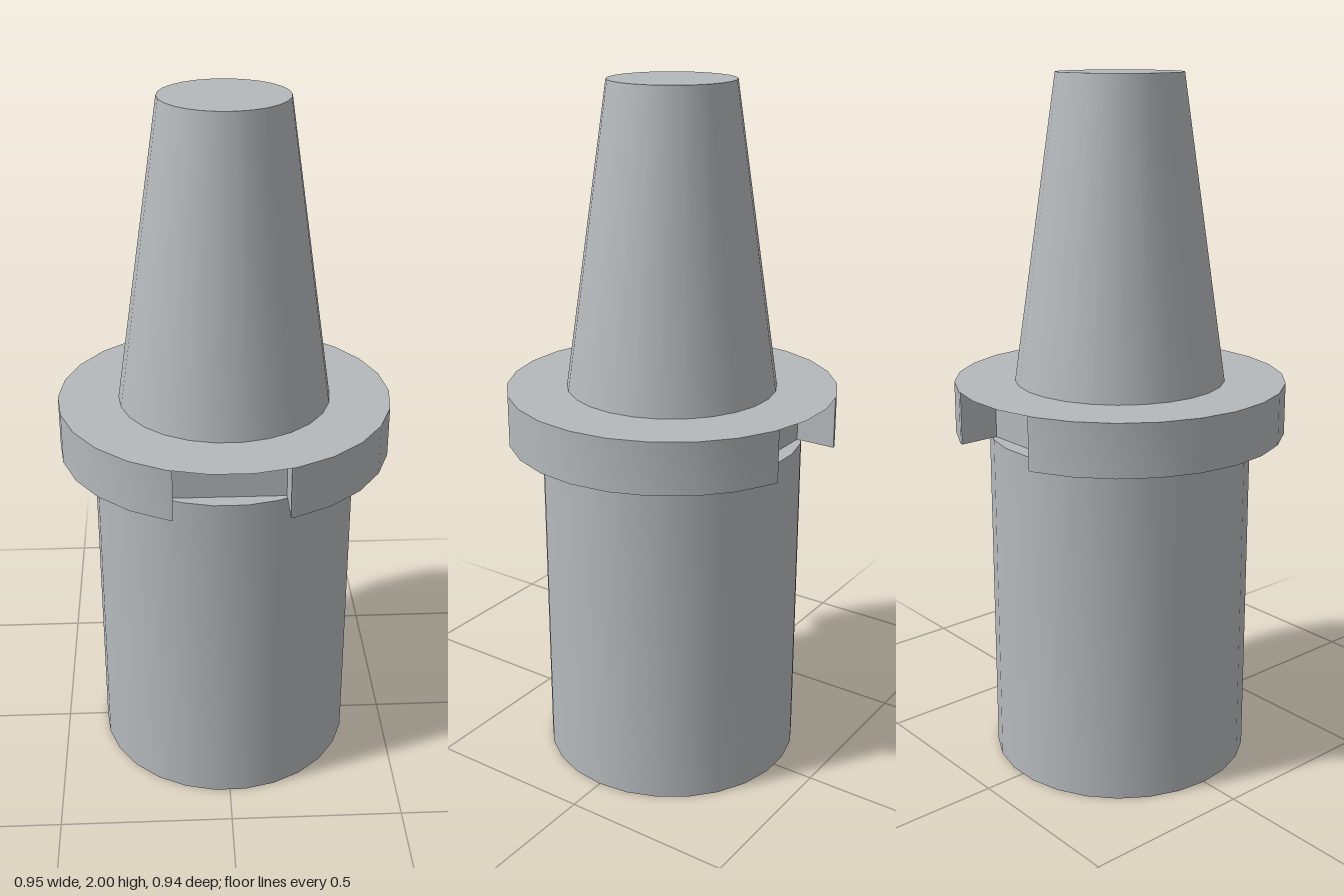
import * as THREE from 'three';
import { toCreasedNormals } from 'three/addons/utils/BufferGeometryUtils.js';

const SIDES = 26;
const STEP = (Math.PI * 2) / SIDES;
const FLANGE_R = 0.475, FLANGE_Y = 0.995, FLANGE_TOP = 1.145;
const SLOT_X = 0.155, SLOT_IN = 0.33, SLOT_OUT = 0.4475;

export function createModel() {
  const group = new THREE.Group();
  const steel = new THREE.MeshStandardMaterial({ color: 0xb5b9bc });
  steel.name = 'steel grey';
  steel.side = THREE.DoubleSide;

  const add = (name, geometry) => {
    const mesh = new THREE.Mesh(geometry, steel);
    mesh.name = name;
    group.add(mesh);
    return mesh;
  };
  const rim = (i) => new THREE.Vector2(FLANGE_R * Math.cos(i * STEP), FLANGE_R * Math.sin(i * STEP));

  // Hollow lower sleeve, open at the bottom
  const profile = [[0.318, FLANGE_Y], [0.318, 0], [0.378, 0], [0.378, FLANGE_Y], [0.318, FLANGE_Y]]
    .map(([r, y]) => new THREE.Vector2(r, y));
  const sleeve = new THREE.LatheGeometry(profile, SIDES).rotateY(Math.PI / 2);
  add('sleeve', toCreasedNormals(sleeve, 0.5));

  // Flange with a slot at the front and at the back
  const outline = [];
  for (const s of [1, -1]) {
    for (let i = -5; i <= 5; i++) outline.push(rim(i).multiplyScalar(s));
    for (const [x, y] of [[SLOT_X, SLOT_OUT], [SLOT_X, SLOT_IN], [-SLOT_X, SLOT_IN], [-SLOT_X, SLOT_OUT]]) {
      outline.push(new THREE.Vector2(x * s, y * s));
    }
  }
  const flange = new THREE.ExtrudeGeometry(new THREE.Shape(outline), {
    depth: FLANGE_TOP - FLANGE_Y, bevelEnabled: false,
  }).rotateX(-Math.PI / 2).translate(0, FLANGE_Y, 0);
  add('flange', toCreasedNormals(flange, 0.5));

  // Thin covers closing the top of each slot
  const cover = new THREE.Shape([
    new THREE.Vector2(-SLOT_X, SLOT_IN), new THREE.Vector2(SLOT_X, SLOT_IN),
    new THREE.Vector2(SLOT_X, SLOT_OUT), rim(6), rim(7), new THREE.Vector2(-SLOT_X, SLOT_OUT),
  ]);
  for (const [name, turn] of [['backSlotCover', 0], ['frontSlotCover', Math.PI]]) {
    add(name, new THREE.ShapeGeometry(cover).rotateX(-Math.PI / 2).rotateY(turn).translate(0, FLANGE_TOP, 0));
  }

  // Tapered shank
  const height = 2 - FLANGE_TOP;
  add('taperedShank', new THREE.CylinderGeometry(0.177, 0.302, height, SIDES)
    .rotateY(Math.PI / 2).translate(0, FLANGE_TOP + height / 2, 0));

  return group;
}
